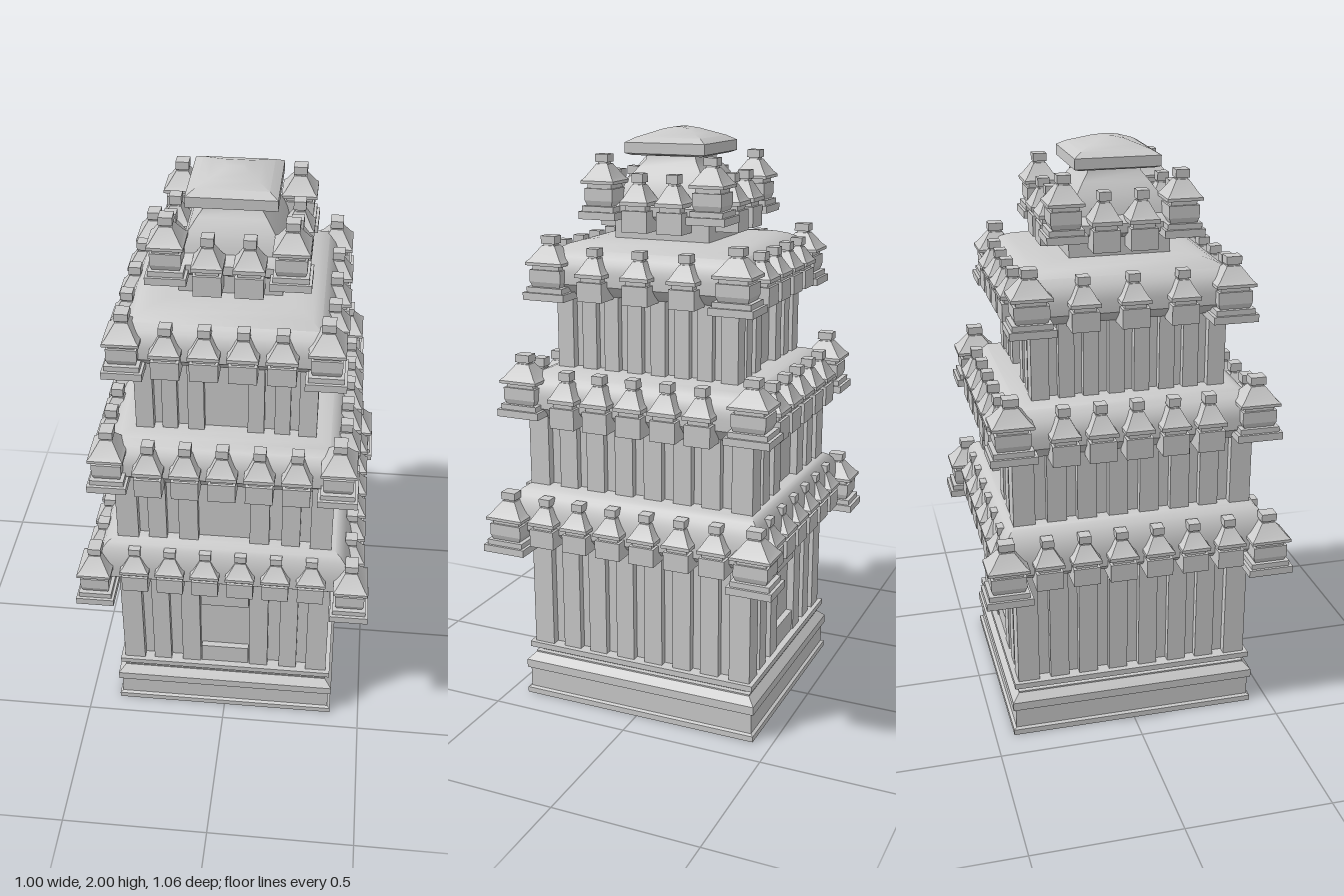
import * as THREE from 'three';
import { toCreasedNormals } from 'three/addons/utils/BufferGeometryUtils.js';

const stone = new THREE.MeshStandardMaterial({ color: 0xcccccc });

// Closed solid through rectangular rings [halfX, halfZ, y], bottom to top
function loft(rings, crease = 0.3) {
  const pos = [], index = [];
  rings.forEach(([x, z, y]) => pos.push(-x, y, z, x, y, z, x, y, -z, -x, y, -z));
  for (let r = 0; r < rings.length - 1; r++) {
    for (let i = 0; i < 4; i++) {
      const a = r * 4 + i, b = r * 4 + (i + 1) % 4;
      index.push(a, b, b + 4, a, b + 4, a + 4);
    }
  }
  const t = (rings.length - 1) * 4;
  index.push(0, 2, 1, 0, 3, 2, t, t + 1, t + 2, t, t + 2, t + 3);
  const g = new THREE.BufferGeometry();
  g.setAttribute('position', new THREE.Float32BufferAttribute(pos, 3));
  g.setIndex(index);
  return toCreasedNormals(g, crease);
}

function add(parent, name, geometry, x = 0, y = 0, z = 0) {
  const m = new THREE.Mesh(geometry, stone);
  m.name = name;
  m.position.set(x, y, z);
  parent.add(m);
  return m;
}

function box(parent, name, w, h, d, x, y, z) {
  return add(parent, name, new THREE.BoxGeometry(w, h, d), x, y + h / 2, z);
}

// Miniature shrine shapes: [half width, height]
const cornerProfile = [
  [0.065, 0], [0.065, 0.025], [0.056, 0.025], [0.056, 0.043], [0.043, 0.043], [0.049, 0.06],
  [0.049, 0.1], [0.042, 0.1], [0.042, 0.115], [0.058, 0.115], [0.058, 0.125], [0.048, 0.135],
  [0.02, 0.178], [0.016, 0.178], [0.016, 0.184], [0.022, 0.184], [0.022, 0.21],
];
const smallProfile = [
  [0.045, 0], [0.045, 0.065], [0.036, 0.065], [0.036, 0.08], [0.05, 0.08], [0.05, 0.092],
  [0.042, 0.1], [0.018, 0.142], [0.015, 0.142], [0.015, 0.148], [0.02, 0.148], [0.02, 0.175],
];
const shrine = (profile, sz = 1) => loft(profile.map(([w, y]) => [w, w * sz, y]));
const smallShrine = shrine(smallProfile);

// Wall with raised pilasters; optional niche in the front and back
function storey(parent, { hx, hz, y0, y1, niche }) {
  const g = new THREE.Group();
  g.name = 'storey';
  parent.add(g);
  const h = y1 - y0, d = 0.03;
  box(g, 'wallCore', 2 * (hx - d), h, 2 * (hz - d), 0, y0, 0);
  for (const sx of [-1, 1]) {
    for (const sz of [-1, 1]) {
      const cw = hx * 0.2;
      box(g, 'cornerPilaster', cw, h, cw, sx * (hx - cw / 2), y0, sz * (hz - cw / 2));
      for (const [f, w] of [[0.62, 0.17], [0.33, 0.18]]) {
        box(g, 'pilaster', hx * w, h, d * 2, sx * hx * f, y0, sz * (hz - d - 0.004));
      }
    }
    for (const f of [-0.64, -0.39, -0.13, 0.13, 0.39, 0.64]) {
      box(g, 'sidePilaster', d * 2, h, hz * 0.16, sx * (hx - d - 0.004), y0, hz * f);
    }
    if (niche) {
      box(g, 'nicheSill', 0.17, niche[0] - y0, d * 2, 0, y0, sx * (hz - d - 0.008));
      box(g, 'nicheLintel', 0.17, y1 - niche[1], d * 2, 0, niche[1], sx * (hz - d - 0.008));
    }
  }
}

// Curved eave carrying corner shrines and rows of small shrines
function shrineTier(parent, t) {
  const g = new THREE.Group();
  g.name = 'shrineTier';
  parent.add(g);
  add(g, 'eave', loft(t.eave, 0.75));
  const corner = shrine(cornerProfile, t.stretch);
  for (const sx of [-1, 1]) {
    for (const sz of [-1, 1]) {
      add(g, 'cornerShrine', corner, sx * t.corner[0], t.cornerY, sz * t.corner[1]);
    }
    for (const x of t.rowX) add(g, 'smallShrine', smallShrine, x, t.smallY, sx * t.rowAt[1]).scale.y = t.sy;
    for (const z of t.rowZ) add(g, 'sideShrine', smallShrine, sx * t.rowAt[0], t.smallY, z).scale.y = t.sy;
  }
}

const row = (n, step) => Array.from({ length: n }, (_, i) => (i - (n - 1) / 2) * step);

// Rounded eave from the wall below to the foot of the wall above
function eaveRings(lower, out, upper, y0, y1) {
  const rings = [[...lower, y0], [out[0] - 0.02, out[1] - 0.02, y0 + 0.02], [...out, y0 + 0.04],
    [...out, y0 + 0.08]];
  for (let i = 1; i <= 6; i++) {
    const a = i / 6 * Math.PI / 2, k = 1 - Math.cos(a);
    rings.push([
      out[0] + (upper[0] - out[0]) * k, out[1] + (upper[1] - out[1]) * k,
      y0 + 0.08 + (y1 - y0 - 0.08) * Math.sin(a),
    ]);
  }
  return rings;
}

export function createModel() {
  const tower = new THREE.Group();
  tower.name = 'templeTower';

  // Moulded plinth
  const plinth = [[0.395, 0], [0.395, 0.02], [0.385, 0.025], [0.385, 0.1], [0.395, 0.1], [0.395, 0.13],
    [0.37, 0.155], [0.37, 0.16], [0.352, 0.16], [0.352, 0.18], [0.385, 0.18], [0.385, 0.2]];
  add(tower, 'plinth', loft(plinth.map(([w, y]) => [w, w + 0.04, y])));

  // Walls
  storey(tower, { hx: 0.37, hz: 0.41, y0: 0.2, y1: 0.64, niche: [0.275, 0.485] });
  storey(tower, { hx: 0.365, hz: 0.41, y0: 0.78, y1: 1.08 });
  storey(tower, { hx: 0.295, hz: 0.327, y0: 1.18, y1: 1.5 });
  box(tower, 'topStorey', 0.33, 0.12, 0.34, 0, 1.62, 0);

  // Tiers of miniature shrines
  shrineTier(tower, {
    eave: eaveRings([0.365, 0.405], [0.435, 0.46], [0.36, 0.4], 0.61, 0.8),
    corner: [0.437, 0.45], cornerY: 0.575, stretch: 1.2, smallY: 0.61, sy: 0.96,
    rowX: row(6, 0.121), rowZ: row(6, 0.125), rowAt: [0.432, 0.438],
  });
  shrineTier(tower, {
    eave: eaveRings([0.36, 0.4], [0.395, 0.43], [0.29, 0.32], 1.04, 1.21),
    corner: [0.375, 0.412], cornerY: 1.05, stretch: 1.2, smallY: 1.03, sy: 1.08,
    rowX: row(5, 0.121), rowZ: row(5, 0.122), rowAt: [0.392, 0.426],
  });
  shrineTier(tower, {
    eave: eaveRings([0.29, 0.325], [0.335, 0.365], [0.2, 0.22], 1.46, 1.64),
    corner: [0.318, 0.332], cornerY: 1.447, stretch: 1.17, smallY: 1.455, sy: 0.98,
    rowX: row(4, 0.121), rowZ: row(3, 0.163), rowAt: [0.332, 0.358],
  });
  shrineTier(tower, {
    eave: [[0.165, 0.17, 1.7], [0.2, 0.2, 1.72], [0.2, 0.2, 1.75], [0.16, 0.165, 1.77]],
    corner: [0.193, 0.193], cornerY: 1.707, stretch: 1.03, smallY: 1.67, sy: 1.08,
    rowX: row(2, 0.13), rowZ: row(2, 0.124), rowAt: [0.2, 0.206],
  });

  // Curved neck and capping roof
  const neck = [[0.165, 1.75], [0.155, 1.79], [0.138, 1.83], [0.11, 1.87], [0.09, 1.895], [0.085, 1.93]];
  add(tower, 'roofNeck', loft(neck.map(([w, y]) => [w, w, y]), 0.75));
  const cap = [[0.125, 1.91], [0.143, 1.917], [0.143, 1.952], [0.115, 1.968], [0.08, 1.981], [0.045, 1.994]];
  add(tower, 'capRoof', loft([...cap.map(([w, y]) => [w, w, y]), [0.027, 0.012, 2]], 0.5));

  return tower;
}
